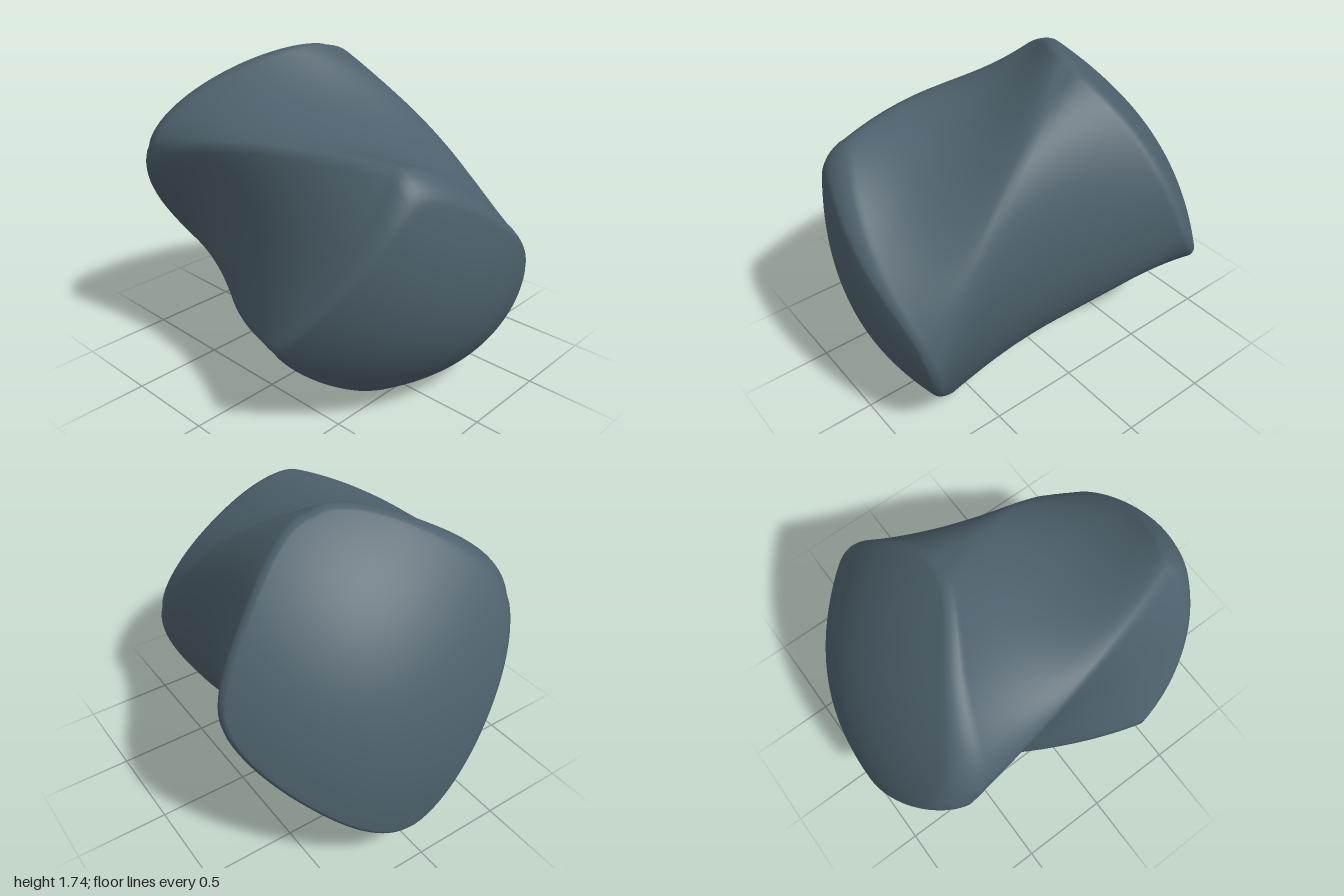
import * as THREE from 'three';
import { mergeVertices } from 'three/addons/utils/BufferGeometryUtils.js';

const V = (x, y, z) => new THREE.Vector3(x, y, z);

// Matching corners of the two end faces; the body twists between them
const front = [V(-0.42, 1.39, 0.79), V(0.49, 0.69, 0.9), V(0.09, 0.0, 0.5), V(-0.83, 0.54, 0.39)];
const back = [V(-0.69, 1.24, -0.71), V(0.17, 1.73, -0.22), V(0.83, 0.9, -0.48), V(0.1, 0.24, -0.98)];

// How far each section edge bulges: right, top, left, bottom
const frontBow = [0.24, 0.27, 0.08, 0.19];
const backBow = [0.25, 0.27, 0.25, 0.2];

const SIDES = 128, DOME_BACK = 0.24, DOME_FRONT = 0.28;
const RIM = 0.035, SOFT_RIM = 0.07;     // rim rounding, softer at the first corner

const centre = (q) => q.reduce((sum, p) => sum.add(p), V(0, 0, 0)).multiplyScalar(0.25);
const backCentre = centre(back), frontCentre = centre(front);
const axis = frontCentre.clone().sub(backCentre).normalize();
const lerp = THREE.MathUtils.lerp;

// Corner offsets at t (0 back, 1 front), swung round the axis
function corners(t) {
  const pinch = 1 - 0.07 * Math.sin(Math.PI * t);
  return back.map((p, i) => {
    const a = p.clone().sub(backCentre), b = front[i].clone().sub(frontCentre);
    const la = a.length(), lb = b.length(), w = a.angleTo(b);
    const dir = a.multiplyScalar(Math.sin((1 - t) * w) / la)
      .addScaledVector(b, Math.sin(t * w) / lb).divideScalar(Math.sin(w));
    return dir.multiplyScalar(lerp(la, lb, t) * pinch);
  });
}

// Bowed-square ring: scale k for the domes, angle f round the rim fillet
function ring(t, k, f) {
  const waist = Math.sin(Math.PI * t), q = corners(t);
  const mid = backCentre.clone().lerp(frontCentre, t).add(V(-0.015 * waist, 0.045 * waist, 0));
  const points = [];
  for (let j = 0; j < SIDES; j++) {
    const angle = (j / SIDES) * Math.PI * 2, c = Math.cos(angle), d = Math.sin(angle);
    const big = Math.max(Math.abs(c), Math.abs(d)), small = Math.min(Math.abs(c), Math.abs(d));
    const side = Math.round(angle / (Math.PI / 2)) % 4;
    const bow = lerp(backBow[side], frontBow[side], t) * (1 - 0.3 * waist);
    const r = k * (1 + bow * (1 - Math.pow(small / big, 2.4))) / big;
    const rim = RIM + SOFT_RIM * Math.max(0, r * (d - c) / 2) ** 2;
    const inset = r * (1 - rim * (1 - Math.cos(f)));
    const x = inset * c, y = inset * d;
    const rise = 1 - (x * x + y * y) / 2;
    const dome = rise * (DOME_FRONT * t ** 3 - DOME_BACK * (1 - t) ** 3);
    const p = mid.clone().addScaledVector(axis, dome + (2 * t - 1) * rim * (Math.sin(f) - 0.5));
    [(1 - x) * (1 + y), (1 + x) * (1 + y), (1 + x) * (1 - y), (1 - x) * (1 - y)]
      .forEach((weight, i) => p.addScaledVector(q[i], weight / 4));
    points.push(p);
  }
  return points;
}

// Rings of one end, from the tip over the dome and round the rim
function endRings(t) {
  const rings = [], capSteps = 24, rimSteps = 6;
  for (let i = 0; i < capSteps; i++) rings.push(ring(t, i / capSteps, Math.PI / 2));
  for (let i = rimSteps; i > 0; i--) rings.push(ring(t, 1, (i / rimSteps) * Math.PI / 2));
  return rings;
}

export function createModel() {
  const group = new THREE.Group();
  const bodySteps = 64;

  // Back end, twisted body, front end
  const rings = endRings(0);
  for (let i = 0; i <= bodySteps; i++) rings.push(ring(i / bodySteps, 1, 0));
  rings.push(...endRings(1).reverse());

  const index = [];
  const last = rings.length - 2;
  for (let i = 0; i <= last; i++) {
    for (let j = 0; j < SIDES; j++) {
      const a = i * SIDES + j, b = i * SIDES + (j + 1) % SIDES;
      const c = b + SIDES, d = a + SIDES;
      if (i > 0) index.push(a, b, c);
      if (i < last) index.push(a, c, d);
    }
  }
  let geometry = new THREE.BufferGeometry().setFromPoints(rings.flat());
  geometry.setIndex(index);
  geometry = mergeVertices(geometry, 1e-5);
  geometry.computeVertexNormals();

  const slate = new THREE.MeshStandardMaterial({ color: 0x4d606b });
  slate.name = 'slate';
  const body = new THREE.Mesh(geometry, slate);
  body.name = 'twistedBlock';
  group.add(body);
  return group;
}
